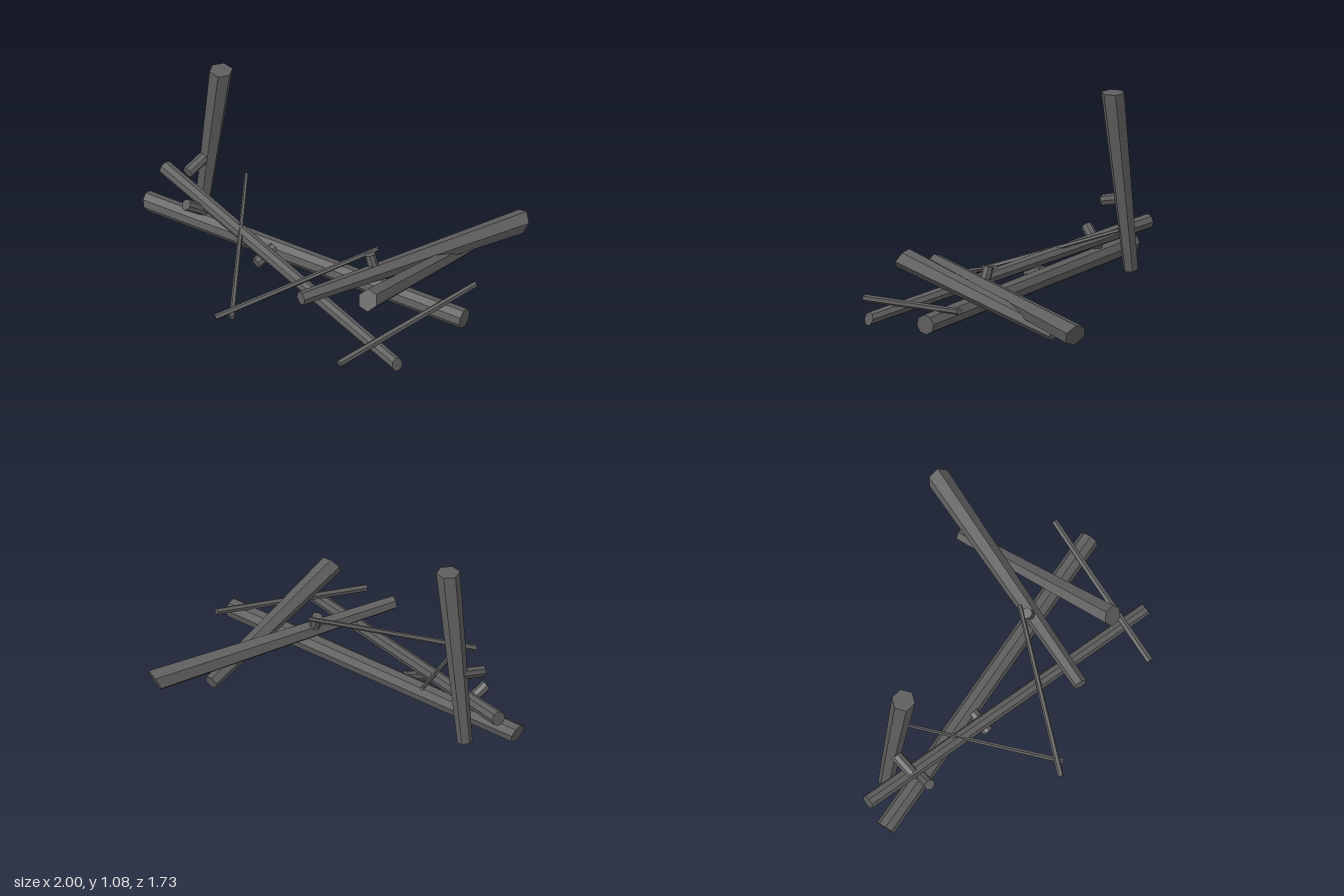
import * as THREE from 'three';

const bark = new THREE.MeshStandardMaterial({ color: 0x5e5e5e, flatShading: true });
bark.name = 'dark grey bark';

// Tapered log between two points. cutA / cutB slant the sawn ends:
// each is a world vector, and rim points along it reach further outwards.
function log(name, a, b, ra, rb, sides, { cutA = [0, 0, 0], cutB = [0, 0, 0], spin = 0 } = {}) {
  const start = new THREE.Vector3(...a);
  const end = new THREE.Vector3(...b);
  const axis = end.clone().sub(start);
  const length = axis.length();
  axis.normalize();
  const middle = start.clone().add(end).multiplyScalar(0.5);

  const geometry = new THREE.CylinderGeometry(rb, ra, length, sides);
  geometry.rotateY(spin);
  const turn = new THREE.Quaternion().setFromUnitVectors(new THREE.Vector3(0, 1, 0), axis);
  geometry.applyQuaternion(turn);

  const slantA = new THREE.Vector3(...cutA);
  const slantB = new THREE.Vector3(...cutB);
  const position = geometry.attributes.position;
  const p = new THREE.Vector3();
  for (let i = 0; i < position.count; i++) {
    p.fromBufferAttribute(position, i);
    const along = p.dot(axis);
    const radial = p.clone().addScaledVector(axis, -along);
    const shift = along > 0 ? radial.dot(slantB) : -radial.dot(slantA);
    p.addScaledVector(axis, shift);
    position.setXYZ(i, p.x, p.y, p.z);
  }
  geometry.computeVertexNormals();

  const mesh = new THREE.Mesh(geometry, bark);
  mesh.name = name;
  mesh.position.copy(middle);
  return mesh;
}

export function createModel() {
  const model = new THREE.Group();
  model.name = 'fallenLogPile';

  model.add(
    // Upright broken trunk with its side stub
    log('uprightTrunk', [-0.785, 0.06, 0.225], [-0.643, 1.09, 0.218], 0.042, 0.066, 6,
      { cutB: [0.13, 0, 0], spin: Math.PI / 6 }),
    log('trunkStub', [-0.735, 0.475, 0.22], [-0.735, 0.43, 0.385], 0.034, 0.033, 8),

    // Two long logs lying across the pile
    log('longLowLog', [-0.985, 0.13, 0.435], [0.985, 0.118, -0.02], 0.055, 0.056, 8,
      { cutA: [0, 0.27, 0], spin: Math.PI / 8 }),
    log('longSlopingLog', [-0.99, 0.283, 0.3], [0.95, 0.05, 0.47], 0.042, 0.036, 8,
      { cutB: [0, -0.4, 0] }),

    // Short stubs on the long logs
    log('leftStub', [-0.65, 0.19, 0.34], [-0.675, 0.28, 0.46], 0.03, 0.032, 8),
    log('middleStub', [-0.18, 0.15, 0.28], [-0.185, 0.11, 0.41], 0.032, 0.032, 8),

    // Thick crossing logs and the stub on the upper one
    log('crossingLog', [0.335, 0.245, 0.595], [0.622, 0.152, -0.835], 0.039, 0.066, 6,
      { cutB: [0, 0.4, 0] }),
    log('crossingLogStub', [0.43, 0.2, 0.11], [0.39, 0.315, 0.11], 0.03, 0.031, 8),
    log('raisedLog', [0.505, 0.08, -0.535], [0.71, 0.355, 0.455], 0.041, 0.061, 6,
      { cutB: [0, -0.3, 0], spin: Math.PI / 6 }),

    // Thin sticks
    log('leftStick', [-0.573, 0.347, 0.09], [0.008, 0.05, 0.8], 0.011, 0.016, 6),
    log('middleStick', [0.393, 0.322, 0.05], [-0.063, 0.048, 0.857], 0.013, 0.017, 6),
    log('rightStick', [0.895, 0.21, -0.2], [0.745, 0.082, 0.715], 0.018, 0.021, 6),
  );

  return model;
}
